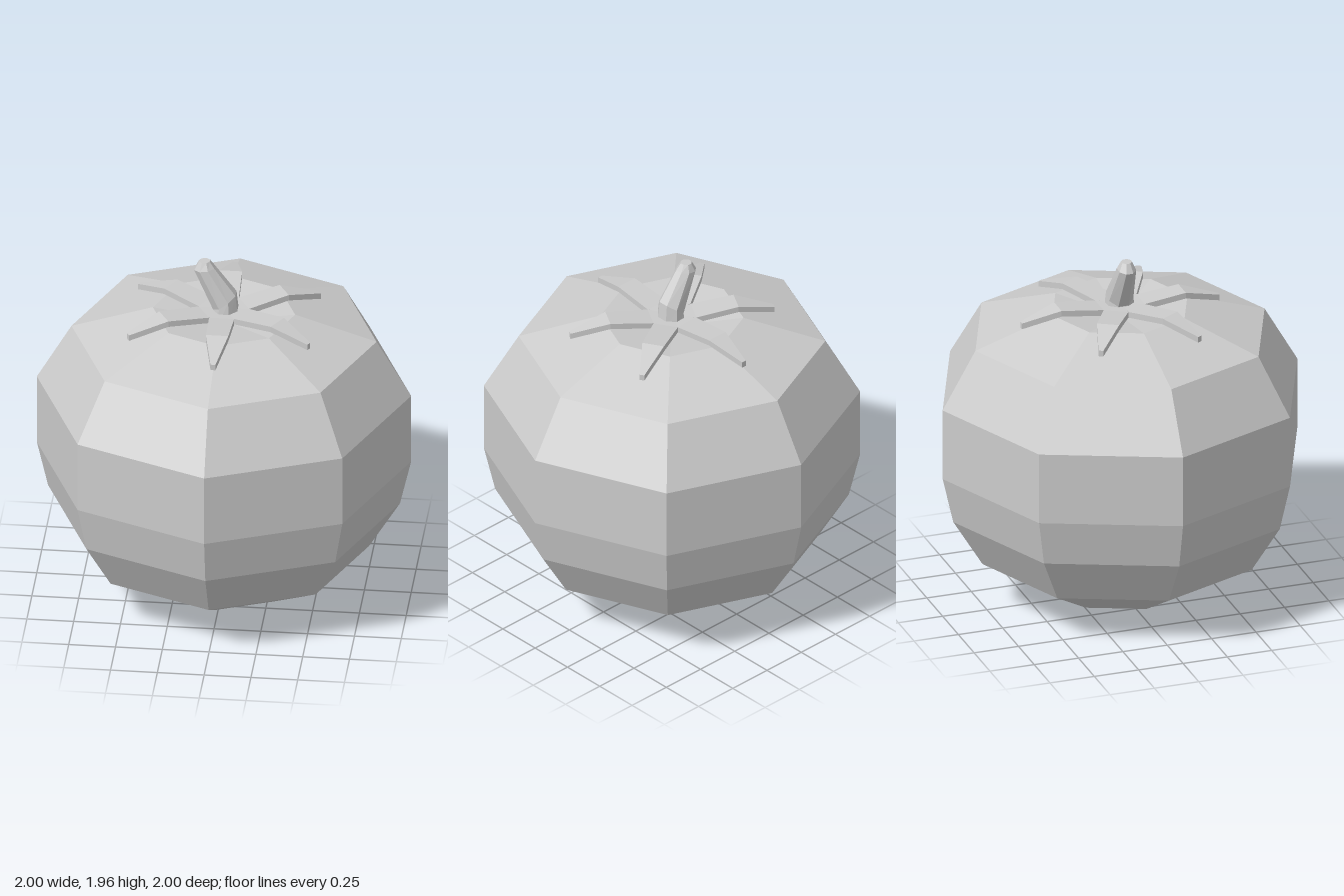
import * as THREE from 'three';

const material = new THREE.MeshStandardMaterial({ color: 0xcccccc, flatShading: true });

// Skins a list of rings (each counter-clockwise seen from the far end) and caps both ends
function loft(rings) {
  const n = rings[0].length, last = (rings.length - 1) * n, index = [];
  for (let r = 0; r < rings.length - 1; r++) {
    for (let i = 0; i < n; i++) {
      const a = r * n + i, b = r * n + (i + 1) % n;
      index.push(a, b, b + n, a, b + n, a + n);
    }
  }
  for (let i = 1; i < n - 1; i++) {
    index.push(0, i + 1, i, last, last + i, last + i + 1);
  }
  const geometry = new THREE.BufferGeometry();
  geometry.setAttribute('position', new THREE.Float32BufferAttribute(rings.flat(2), 3));
  geometry.setIndex(index);
  const faceted = geometry.toNonIndexed();
  faceted.computeVertexNormals();
  return faceted;
}

function part(name, geometry) {
  const mesh = new THREE.Mesh(geometry, material);
  mesh.name = name;
  return mesh;
}

export function createModel() {
  const model = new THREE.Group();
  model.name = 'tomato';

  // Eight-sided fruit with a shallow dimple on top
  const profile = [
    [0, 0], [0.42, 0.07], [0.775, 0.27], [0.94, 0.54], [1, 0.8],
    [1, 1.2], [0.815, 1.52], [0.38, 1.66], [0, 1.6],
  ].map(([r, y]) => new THREE.Vector2(r, y));
  const body = new THREE.LatheGeometry(profile, 8).toNonIndexed();
  body.computeVertexNormals();
  model.add(part('fruitBody', body));

  // Six drooping leaves: distance from centre, half width, top height
  const leaf = loft([
    [0, 0.002, 1.675], [0.117, 0.067, 1.68], [0.35, 0.06, 1.707], [0.557, 0.013, 1.645],
  ].map(([z, w, y]) => [[w, y, z], [-w, y, z], [-w, y - 0.033, z], [w, y - 0.033, z]]));
  const leaves = new THREE.Group();
  leaves.name = 'leaves';
  for (let i = 0; i < 6; i++) {
    const mesh = part('leaf', leaf);
    mesh.rotation.y = i * Math.PI / 3;
    leaves.add(mesh);
  }
  model.add(leaves);

  // Leaning stem: left x and y, right x and y, half depth of each ring
  const sides = 8;
  const stem = loft([
    [-0.065, 1.61, 0.078, 1.64, 0.085],
    [-0.055, 1.68, 0.064, 1.77, 0.074],
    [-0.157, 1.91, -0.05, 1.925, 0.051],
    [-0.132, 1.96, -0.075, 1.962, 0.03],
  ].map(([x0, y0, x1, y1, depth]) => Array.from({ length: sides }, (_, i) => {
    const a = (i + 0.5) / sides * Math.PI * 2;
    const t = (Math.cos(a) / Math.cos(Math.PI / sides) + 1) / 2;
    return [x0 + (x1 - x0) * t, y0 + (y1 - y0) * t, -Math.sin(a) * depth];
  })));
  model.add(part('stem', stem));

  return model;
}
